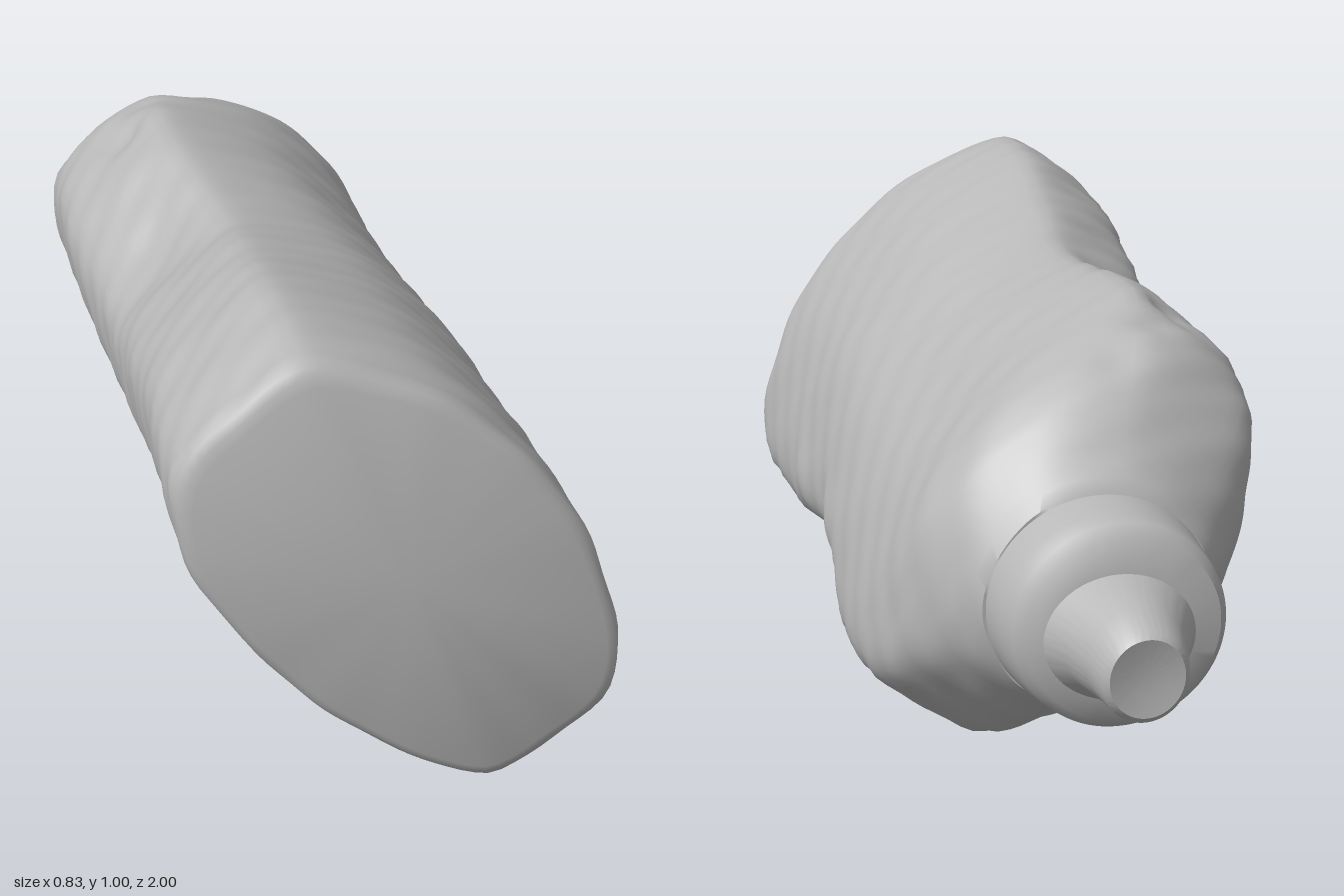
import * as THREE from 'three';
import { toCreasedNormals } from 'three/addons/utils/BufferGeometryUtils.js';

const SIDES = 88;

// Lens-shaped section with two blunt ends, counter-clockwise from the front
const outline = [
  [0.40, 0.25], [0.41, 0.30], [0.38, 0.47], [0.31, 0.64], [0.19, 0.79], [0.06, 0.90], [-0.13, 0.985], [-0.18, 0.99],
  [-0.33, 0.885], [-0.385, 0.82], [-0.395, 0.77], [-0.37, 0.63], [-0.29, 0.48], [-0.17, 0.33], [0.0, 0.185],
  [0.14, 0.105], [0.19, 0.10], [0.37, 0.215],
];
const lens = new THREE.CatmullRomCurve3(
  outline.map(([x, y]) => new THREE.Vector3(x / 0.405, (y - 0.545) / 0.445, 0)), true, 'centripetal',
).getSpacedPoints(SIDES).slice(0, SIDES);

// Local lumps and dents: x, y, z, radius, push
const lumps = [
  [0.0, 0.88, 0.03, 0.035, 0.02],
  [-0.27, 0.84, -0.24, 0.05, -0.025], [-0.2, 0.86, -0.36, 0.05, -0.025], [-0.12, 0.85, -0.47, 0.05, -0.02],
  [0.36, 0.33, 0.5, 0.07, 0.012], [0.36, 0.33, 0.17, 0.07, 0.018], [0.3, 0.17, 0.2, 0.12, -0.03],
  [-0.33, 0.84, 0.15, 0.12, -0.03],
];

// Section fitted to a box; round blends to an ellipse, squeeze shortens the long axis
function section([z, x0, x1, y0, y1, round, squeeze]) {
  const pts = lens.map((p) => {
    const k = squeeze * (-0.65 * p.x + 0.76 * p.y);
    const q = new THREE.Vector2(p.x + 0.65 * k, p.y - 0.76 * k);
    return q.lerp(q.clone().normalize(), round);
  });
  const box = new THREE.Box2().setFromPoints(pts);
  const size = box.getSize(new THREE.Vector2());
  return pts.map((q) => new THREE.Vector3(
    x0 + (x1 - x0) * (q.x - box.min.x) / size.x,
    y0 + (y1 - y0) * (q.y - box.min.y) / size.y, z));
}

// Skin over sections ordered front to back, closed at both ends
function loft(rows, crease, shape) {
  const rings = rows.map(section);
  const pos = [], index = [];
  rings.forEach((r) => r.forEach((p) => { shape(p); pos.push(p.x, p.y, p.z); }));
  for (let i = 0; i < rings.length - 1; i++) {
    for (let j = 0; j < SIDES; j++) {
      const a = i * SIDES + j, b = i * SIDES + (j + 1) % SIDES;
      index.push(a, a + SIDES, b, b, a + SIDES, b + SIDES);
    }
  }
  [0, rings.length - 1].forEach((i, back) => {
    const c = rings[i].reduce((s, p) => s.add(p), new THREE.Vector3()).divideScalar(SIDES);
    const centre = pos.length / 3;
    pos.push(c.x, c.y, c.z);
    for (let j = 0; j < SIDES; j++) {
      const a = i * SIDES + j, b = i * SIDES + (j + 1) % SIDES;
      index.push(centre, back ? b : a, back ? a : b);
    }
  });
  const g = new THREE.BufferGeometry();
  g.setAttribute('position', new THREE.Float32BufferAttribute(pos, 3));
  g.setIndex(index);
  return toCreasedNormals(g, crease);
}

// Hand-worn surface, and the base tilted to lean back at the top
function wear(p) {
  const wobble = 0.003 * Math.sin(p.z * 31 + p.x * 17) * Math.sin(p.y * 27 - p.z * 13)
    + 0.0015 * Math.sin(p.z * 67 + p.y * 41 + p.x * 29);
  let push = wobble;
  for (const [x, y, z, r, amount] of lumps) {
    const d2 = (p.x - x) ** 2 + (p.y - y) ** 2 + (p.z - z) ** 2;
    push += amount * Math.exp(-d2 / (r * r));
  }
  const dir = new THREE.Vector2(p.x, p.y - 0.48).normalize();
  p.x += dir.x * push;
  p.y = Math.max(0, p.y + dir.y * push);
  p.z -= 0.075 * (p.y - 0.545) * THREE.MathUtils.smoothstep(p.z, 0.4, 0.95);
}

export function createModel() {
  const model = new THREE.Group();
  const grey = new THREE.MeshStandardMaterial({ color: 0xb8b8b8 });
  grey.name = 'plain grey';
  const add = (name, geometry) => {
    const mesh = new THREE.Mesh(geometry, grey);
    mesh.name = name;
    model.add(mesh);
  };

  // Body: z, x min, x max, y min, y max, roundness, squeeze
  const body = [
    [-0.66, -0.25, 0.18, 0.20, 0.62, 0.9, 0.25],
    [-0.60, -0.28, 0.22, 0.175, 0.68, 0.7, 0.2],
    [-0.50, -0.36, 0.29, 0.115, 0.79, 0.4, 0.12],
    [-0.40, -0.40, 0.33, 0.05, 0.86, 0.15, 0.04],
    [-0.28, -0.41, 0.355, 0.015, 0.89, 0, 0],
    [-0.12, -0.41, 0.365, 0.005, 0.895, 0, 0],
    [0.05, -0.395, 0.365, 0.035, 0.88, 0, 0.06],
    [0.22, -0.385, 0.355, 0.08, 0.885, 0, 0.13],
    [0.40, -0.39, 0.365, 0.095, 0.93, 0, 0.1],
    [0.60, -0.395, 0.385, 0.075, 0.98, 0, 0.02],
    [0.75, -0.40, 0.40, 0.075, 1.0, 0, 0],
    [0.92, -0.405, 0.41, 0.09, 0.995, 0, 0],
    [0.955, -0.40, 0.405, 0.095, 0.985, 0, 0],
    [0.968, -0.375, 0.38, 0.12, 0.955, 0, 0],
  ];
  const curve = new THREE.CubicInterpolant(
    body.map((r) => r[0]), body.flatMap((r) => r.slice(1)), 6, new Float32Array(6));
  const stops = [0.968, 0.962, 0.955, 0.94];
  for (let i = 0; i <= 70; i++) stops.push(0.92 - 1.58 * i / 70);
  add('bottleBody', loft(stops.map((z) => [z, ...curve.evaluate(z)]), 0.9, wear));

  // Collar and stepped nozzle, with a small dimple in the tip
  const neck = [
    [-0.62, -0.25, 0.18, 0.205, 0.62, 0.95, 0.25],
    [-0.67, -0.25, 0.175, 0.20, 0.615, 0.95, 0.25],
    [-0.73, -0.25, 0.165, 0.205, 0.605, 0.95, 0.25],
    [-0.775, -0.245, 0.15, 0.21, 0.60, 0.95, 0.25],
    [-0.795, -0.23, 0.13, 0.23, 0.58, 0.95, 0.25],
    [-0.805, -0.18, 0.10, 0.275, 0.515, 1, 0.25],
    [-0.85, -0.16, 0.075, 0.295, 0.505, 1, 0.25],
    [-0.92, -0.135, 0.05, 0.30, 0.495, 1, 0.25],
    [-0.98, -0.12, 0.035, 0.302, 0.475, 1, 0.25],
    [-0.992, -0.11, 0.025, 0.315, 0.465, 1, 0.25],
    [-0.985, -0.075, -0.01, 0.355, 0.425, 1, 0.25],
  ];
  add('collarAndNozzle', loft(neck, 0.7, (p) => {
    p.z -= 0.08 * (p.y - 0.39) * THREE.MathUtils.smoothstep(-p.z, 0.9, 0.98);
  }));
  return model;
}
